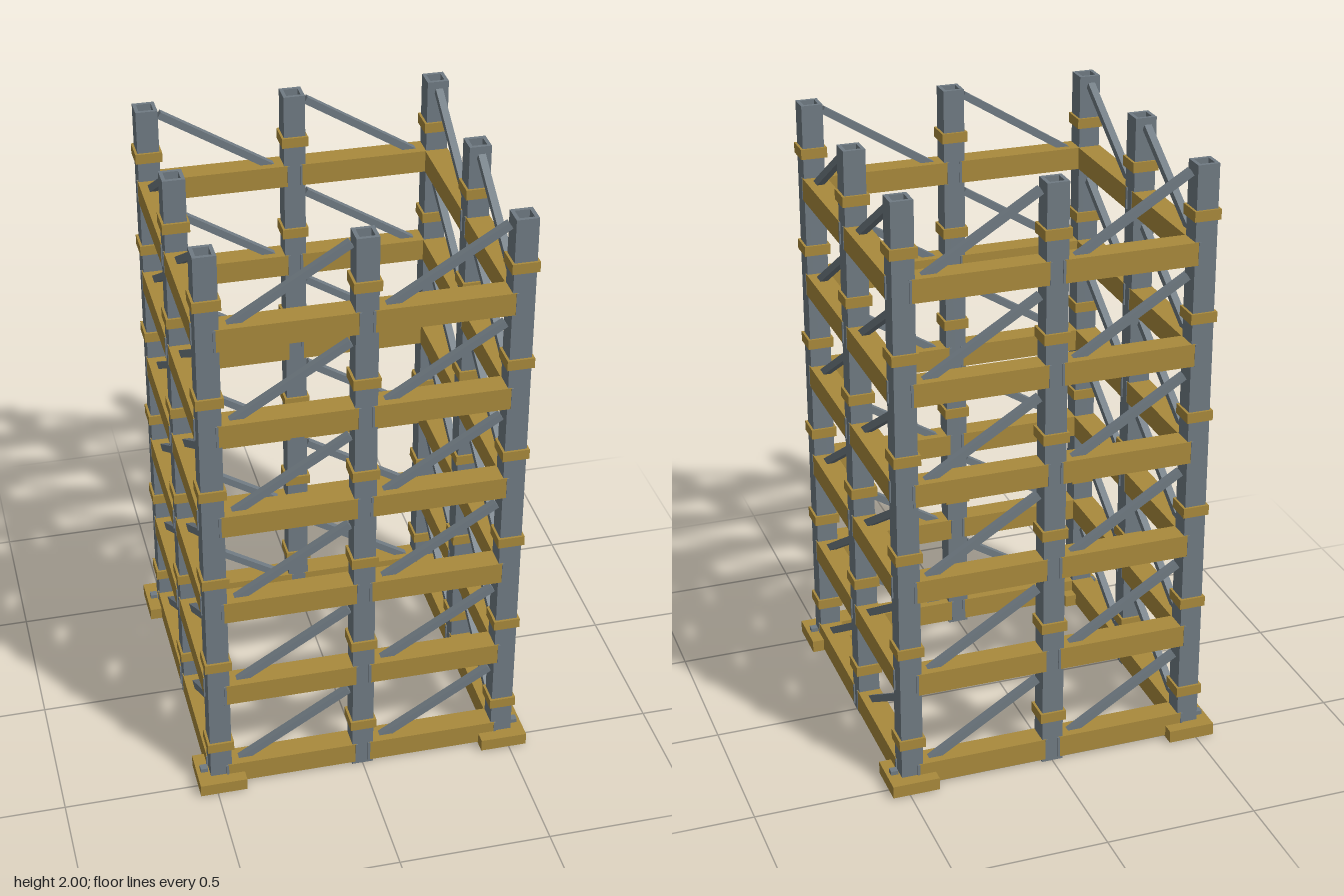
import * as THREE from 'three';

const steel = new THREE.MeshStandardMaterial({ color: 0x707b83 });
steel.name = 'steelGrey';
const ochre = new THREE.MeshStandardMaterial({ color: 0xa98a3c });
ochre.name = 'ochreBeam';

const OFFSET = 0.48;   // distance of column lines from the centre
const LEVELS = 6;
const STEP = 0.334;    // storey height
const BASE = 0.048;    // centre height of the lowest beams

function square(PathType, size) {
  const h = size / 2;
  return new PathType([[-h, -h], [h, -h], [h, h], [-h, h]].map(([x, y]) => new THREE.Vector2(x, y)));
}

// Upright hollow square section, standing on y = 0
function squareTube(outer, inner, height) {
  const shape = square(THREE.Shape, outer);
  shape.holes.push(square(THREE.Path, inner));
  return new THREE.ExtrudeGeometry(shape, { depth: height, bevelEnabled: false }).rotateX(-Math.PI / 2);
}

function add(parent, name, geometry, material, x, y, z) {
  const mesh = new THREE.Mesh(geometry, material);
  mesh.name = name;
  mesh.position.set(x, y, z);
  parent.add(mesh);
  return mesh;
}

export function createModel() {
  const model = new THREE.Group();
  model.name = 'scaffoldTower';

  const columnGeo = squareTube(0.071, 0.047, 2);
  const collarGeo = squareTube(0.087, 0.07, 0.034);
  const beamGeo = new THREE.BoxGeometry(0.436, 0.075, 0.0765);
  const endPlateGeo = new THREE.BoxGeometry(0.008, 0.073, 0.08);
  const braceGeo = new THREE.BoxGeometry(0.463, 0.024, 0.024);
  const padGeo = new THREE.BoxGeometry(0.156, 0.042, 0.156);
  const boltGeo = new THREE.BoxGeometry(0.024, 0.014, 0.024);

  // Columns with collars, at the corners and the middle of each side
  for (const ix of [-1, 0, 1]) {
    for (const iz of [-1, 0, 1]) {
      if (!ix && !iz) continue;
      const x = ix * OFFSET, z = iz * OFFSET;
      add(model, 'column', columnGeo, steel, x, 0, z);
      for (let k = 0; k < LEVELS; k++) {
        add(model, 'collar', collarGeo, ochre, x, 0.153 + k * STEP, z);
      }
      // Foot pads under the corners, each with outer and inner bolts
      if (ix && iz) {
        add(model, 'footPad', padGeo, ochre, x, 0.026, z);
        for (const s of [-1, 1]) add(model, 'padBolt', boltGeo, steel, x + s * 0.053, 0.054, z);
      }
    }
  }

  // Four sides, each with two bays per storey
  for (let side = 0; side < 4; side++) {
    const wall = new THREE.Group();
    wall.name = 'wall';
    wall.rotation.y = side * Math.PI / 2;
    model.add(wall);
    for (let k = 0; k < LEVELS; k++) {
      const y = BASE + k * STEP;
      for (const x of [-0.24, 0.24]) {
        add(wall, 'beam', beamGeo, ochre, x, y, OFFSET);
        for (const s of [-1, 1]) add(wall, 'beamEndPlate', endPlateGeo, steel, x + s * 0.219, y, OFFSET);
        const brace = add(wall, 'diagonalBrace', braceGeo, steel, x, y + 0.132, OFFSET);
        brace.rotation.z = Math.atan2(0.243, 0.394);
      }
    }
  }
  return model;
}
